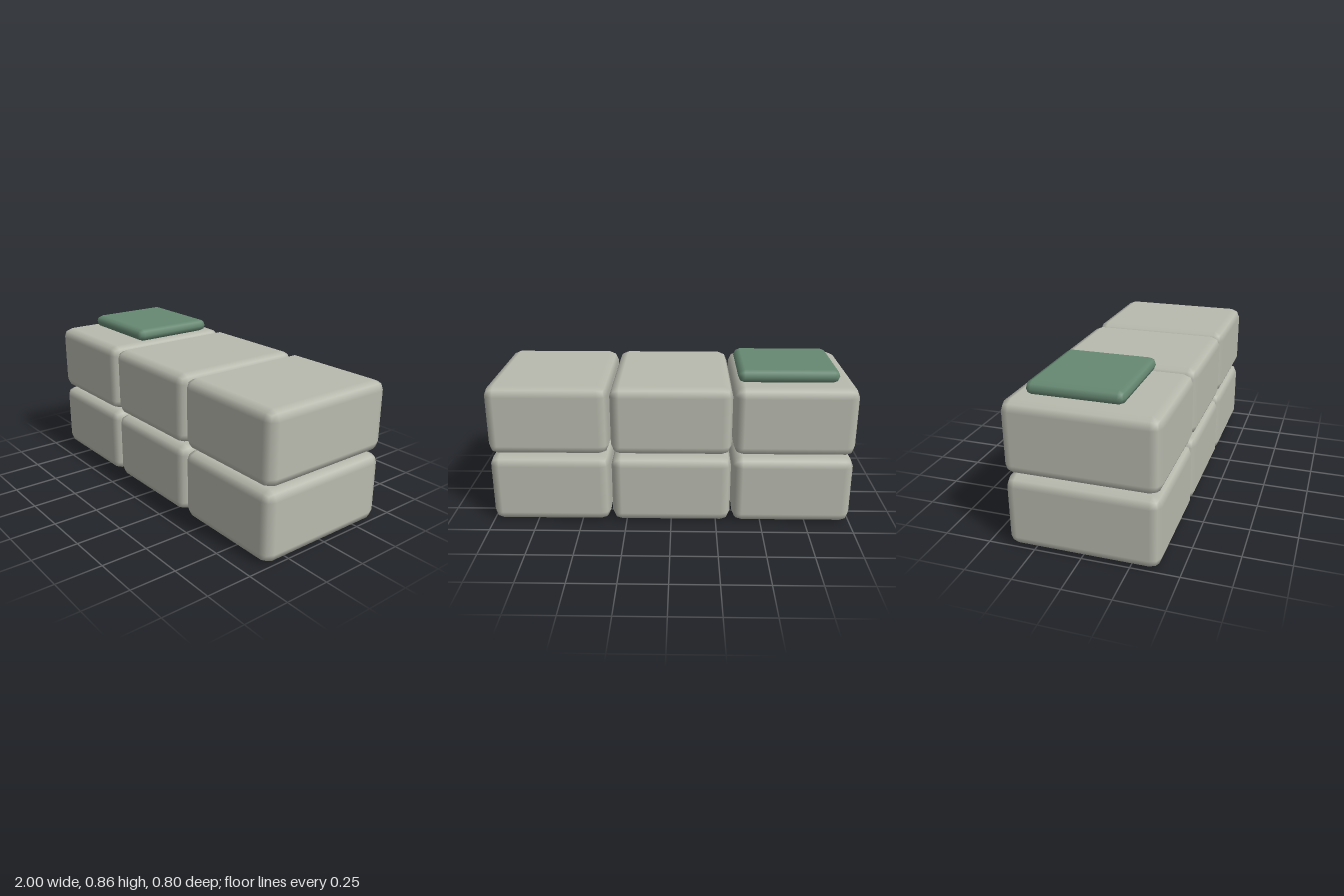
import * as THREE from 'three';
import { RoundedBoxGeometry } from 'three/addons/geometries/RoundedBoxGeometry.js';

// Rounded block placed by its centre
function block(name, size, radius, position, material) {
  const mesh = new THREE.Mesh(new RoundedBoxGeometry(...size, 1, radius), material);
  mesh.name = name;
  mesh.position.set(...position);
  return mesh;
}

export function createModel() {
  const model = new THREE.Group();
  model.name = 'stackedBlocks';
  const stone = new THREE.MeshStandardMaterial({ color: 0xb8baae });
  const green = new THREE.MeshStandardMaterial({ color: 0x668872 });

  // Two courses of three blocks with narrow gaps
  const size = [0.66, 0.387, 0.796];
  ['lower', 'upper'].forEach((course, row) => {
    ['Right', 'Middle', 'Left'].forEach((side, column) => {
      const position = [(column - 1) * 0.67, size[1] / 2 + row * 0.4, 0];
      model.add(block(`${course}${side}Block`, size, 0.054, position, stone));
    });
  });

  // Thin cushion with fully rounded edges
  model.add(block('cushion', [0.546, 0.072, 0.5], 0.036, [-0.631, 0.823, -0.052], green));

  return model;
}
